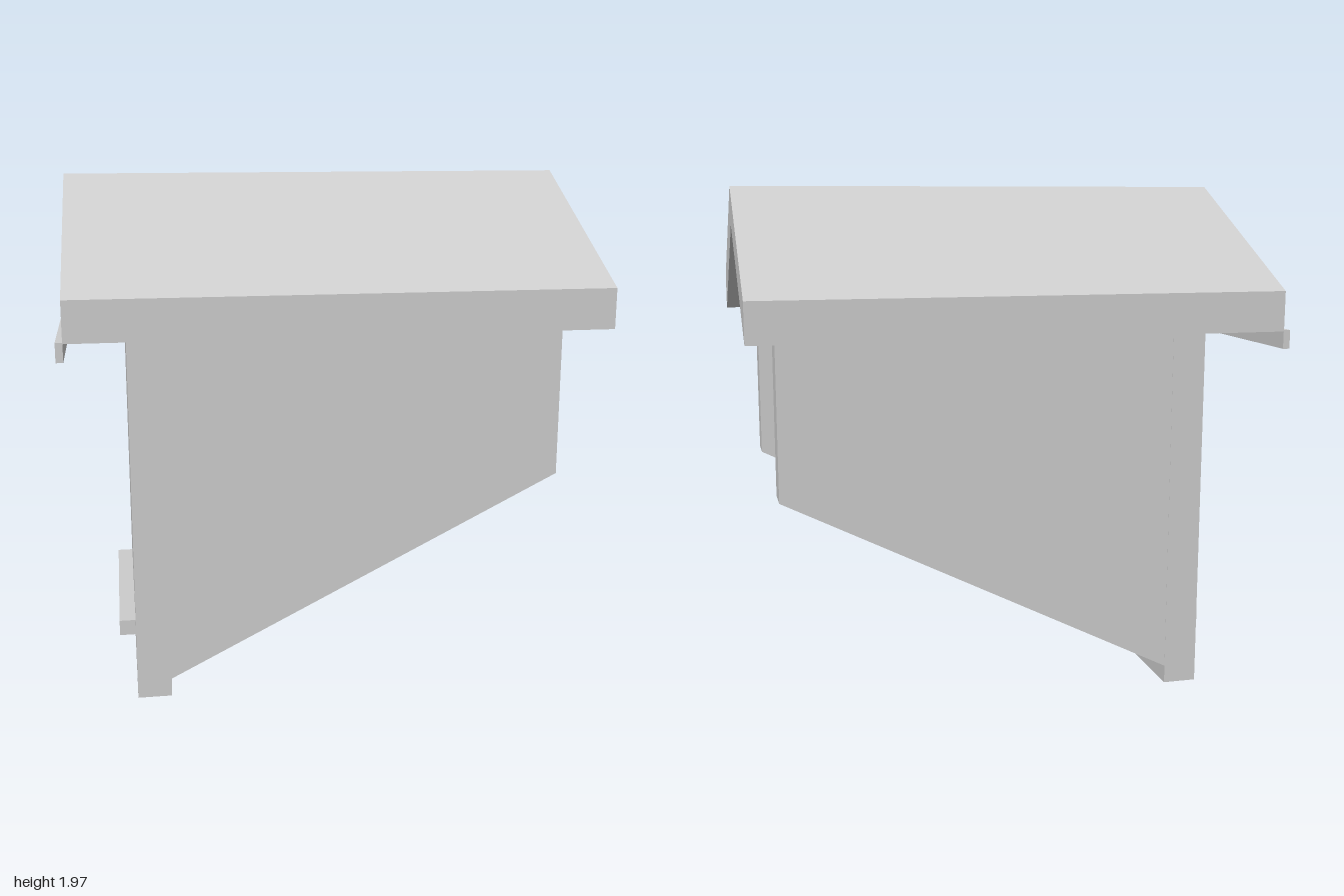
import * as THREE from 'three';

export function createModel() {
  const model = new THREE.Group();
  const paint = new THREE.MeshStandardMaterial({ color: 0xcccccc });
  paint.name = 'light grey';

  const add = (name, geometry, x = 0, y = 0, z = 0) => {
    const mesh = new THREE.Mesh(geometry, paint);
    mesh.name = name;
    mesh.position.set(x, y, z);
    model.add(mesh);
  };

  // Flat outline extruded along z
  const slab = (points, depth) => new THREE.ExtrudeGeometry(
    new THREE.Shape(points.map(([x, y]) => new THREE.Vector2(x, y))),
    { depth, bevelEnabled: false });

  // Outline given in (z, y), extruded along x
  const crossSlab = (points, depth) =>
    slab(points.map(([z, y]) => [-z, y]), depth).rotateY(Math.PI / 2);

  // Gabled roof with vertical eave edges, open underneath
  add('roof', crossSlab([
    [-0.77, 1.435], [-0.77, 1.585], [0, 1.97],
    [0.77, 1.585], [0.77, 1.435], [0, 1.82],
  ], 1.975), -0.975);

  // Upright gabled end wall
  add('endWall', crossSlab([
    [-0.547, 0], [-0.547, 1.432], [0, 1.705], [0.547, 1.432], [0.547, 0],
  ], 0.13), -0.76);

  // Side walls with sloping lower edges
  const sidePoints = [[-0.63, 0.07], [0.885, 0.83], [0.885, 1.43], [-0.63, 1.43]];
  add('leftSideWall', slab(sidePoints, 0.127), 0, 0, 0.419);
  add('rightSideWall', slab(sidePoints, 0.127), 0, 0, -0.546);

  // Thin rail across the eaves and short perch on the end wall
  add('eaveRail', new THREE.BoxGeometry(0.026, 0.07, 1.54), -0.987, 1.405, 0);
  add('perch', new THREE.BoxGeometry(0.062, 0.06, 0.82), -0.791, 0.235, 0);

  return model;
}
